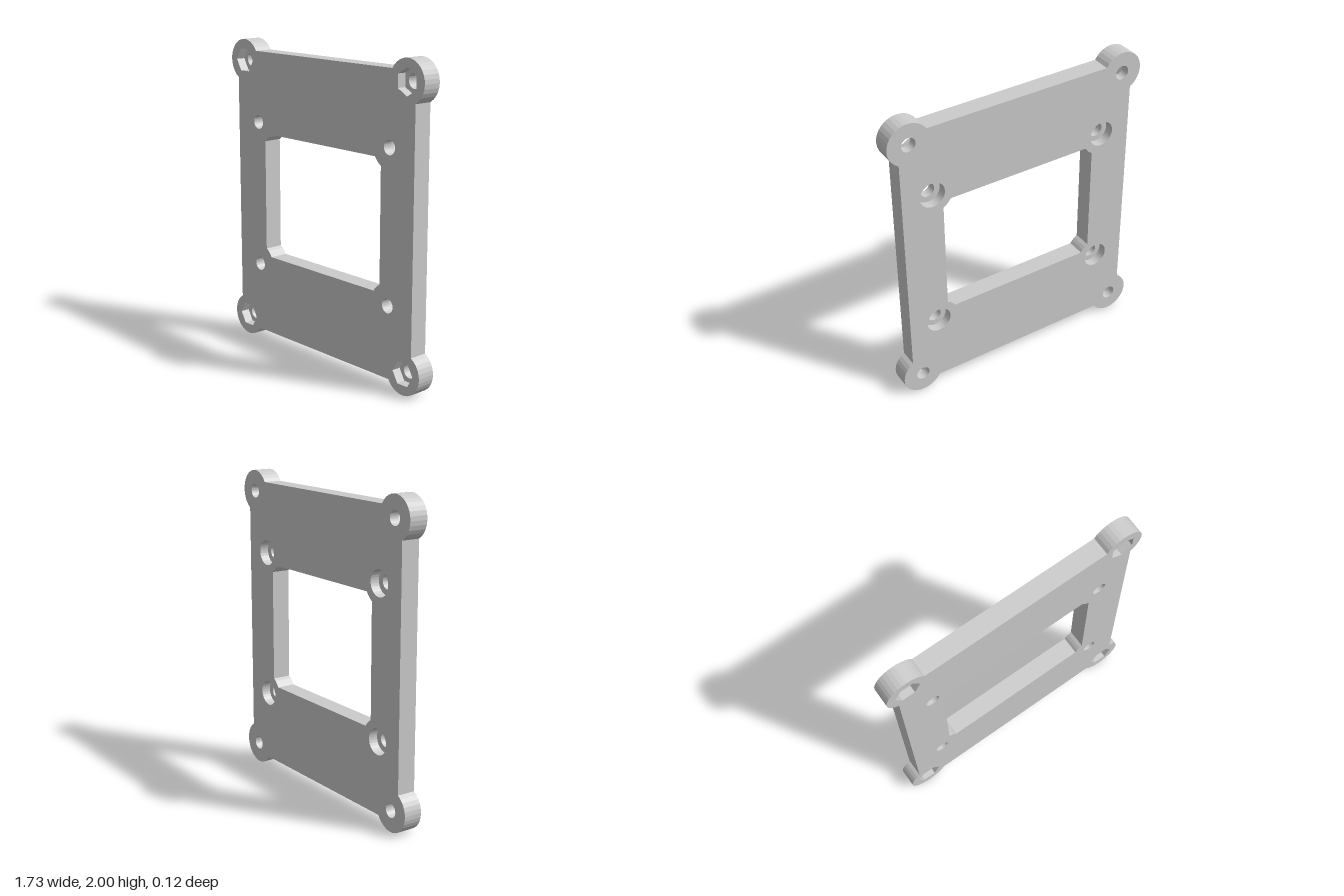
import * as THREE from 'three';
import { mergeGeometries } from 'three/addons/utils/BufferGeometryUtils.js';

const HALF = 0.06; // half the plate thickness
const CORNERS = [[-1, -1], [1, -1], [1, 1], [-1, 1]]; // counter-clockwise
const LUG = { x: 0.73, y: 0.865, r: 0.135 };
const SCREW = { x: 0.597, y: 0.476 };
const HOLE_R = 0.045, HEX_R = 0.082, BORE_R = 0.082;

// Points along an arc, angles in degrees
function arc(cx, cy, r, from, to, steps) {
  return Array.from({ length: steps + 1 }, (_, i) => {
    const a = THREE.MathUtils.degToRad(from + (to - from) * i / steps);
    return new THREE.Vector2(cx + r * Math.cos(a), cy + r * Math.sin(a));
  });
}
const polygon = (x, y, r, sides, turn = 0) => arc(x, y, r, turn, turn + 360, sides).slice(0, -1);

// Flat face with holes at depth z, facing front or back
function face(outline, holes, z, back = false) {
  const shape = new THREE.Shape(outline);
  shape.holes = holes.map((h) => new THREE.Path(h));
  const g = new THREE.ShapeGeometry(shape);
  if (back) {
    const ix = g.index.array;
    for (let i = 0; i < ix.length; i += 3) [ix[i], ix[i + 1]] = [ix[i + 1], ix[i]];
  }
  g.translate(0, 0, z);
  const flat = g.toNonIndexed();
  flat.deleteAttribute('uv');
  flat.computeVertexNormals();
  return flat;
}

// Straight wall along a closed outline; inward for holes
function wall(points, z0, z1, inward = false) {
  const p = inward ? [...points].reverse() : points;
  const v = [];
  p.forEach((a, i) => {
    const b = p[(i + 1) % p.length];
    v.push(a.x, a.y, z0, b.x, b.y, z0, b.x, b.y, z1);
    v.push(a.x, a.y, z0, b.x, b.y, z1, a.x, a.y, z1);
  });
  const g = new THREE.BufferGeometry();
  g.setAttribute('position', new THREE.Float32BufferAttribute(v, 3));
  g.computeVertexNormals();
  return g;
}

export function createModel() {
  const group = new THREE.Group();
  group.name = 'mountingPlate';
  const material = new THREE.MeshStandardMaterial({ color: 0xcccccc, flatShading: true });
  const add = (name, parts) => {
    const mesh = new THREE.Mesh(mergeGeometries(parts), material);
    mesh.name = name;
    mesh.position.y = 1;
    group.add(mesh);
  };

  // Plate outline with a round lug on each corner
  const outline = CORNERS.flatMap(([sx, sy], i) =>
    arc(sx * LUG.x, sy * LUG.y, LUG.r, 120 + 90 * i, 330 + 90 * i, 18));

  // Window, its corners cut by a round boss about each screw hole
  const opening = CORNERS.flatMap(([sx, sy], i) =>
    arc(sx * SCREW.x, sy * SCREW.y, LUG.r, 60 + 90 * i, 30 + 90 * i, 3));

  // Lug holes with nut pockets in front, screw holes with counterbores behind
  const lugHoles = CORNERS.map(([sx, sy]) => polygon(sx * LUG.x, sy * LUG.y, HOLE_R, 24));
  const nuts = CORNERS.map(([sx, sy], i) =>
    polygon(sx * LUG.x, sy * LUG.y, HEX_R, 6, i === 2 ? 30 : 0));
  const screwHoles = CORNERS.map(([sx, sy]) => polygon(sx * SCREW.x, sy * SCREW.y, HOLE_R, 24));
  const bores = CORNERS.map(([sx, sy]) => polygon(sx * SCREW.x, sy * SCREW.y, BORE_R, 30));

  add('plateFront', [face(outline, [opening, ...nuts, ...screwHoles], HALF)]);
  add('plateBack', [face(outline, [opening, ...lugHoles, ...bores], -HALF, true)]);
  add('outerEdge', [wall(outline, -HALF, HALF)]);
  add('windowEdge', [wall(opening, -HALF, HALF, true)]);

  CORNERS.forEach(([sx, sy], i) => {
    const where = (sy > 0 ? 'Upper' : 'Lower') + (sx > 0 ? 'Left' : 'Right');
    add('nutPocket' + where, [
      wall(nuts[i], 0, HALF, true),
      face(nuts[i], [lugHoles[i]], 0),
      wall(lugHoles[i], -HALF, 0, true),
    ]);
    add('screwHole' + where, [
      wall(bores[i], -HALF, 0, true),
      face(bores[i], [screwHoles[i]], 0, true),
      wall(screwHoles[i], 0, HALF, true),
    ]);
  });
  return group;
}
